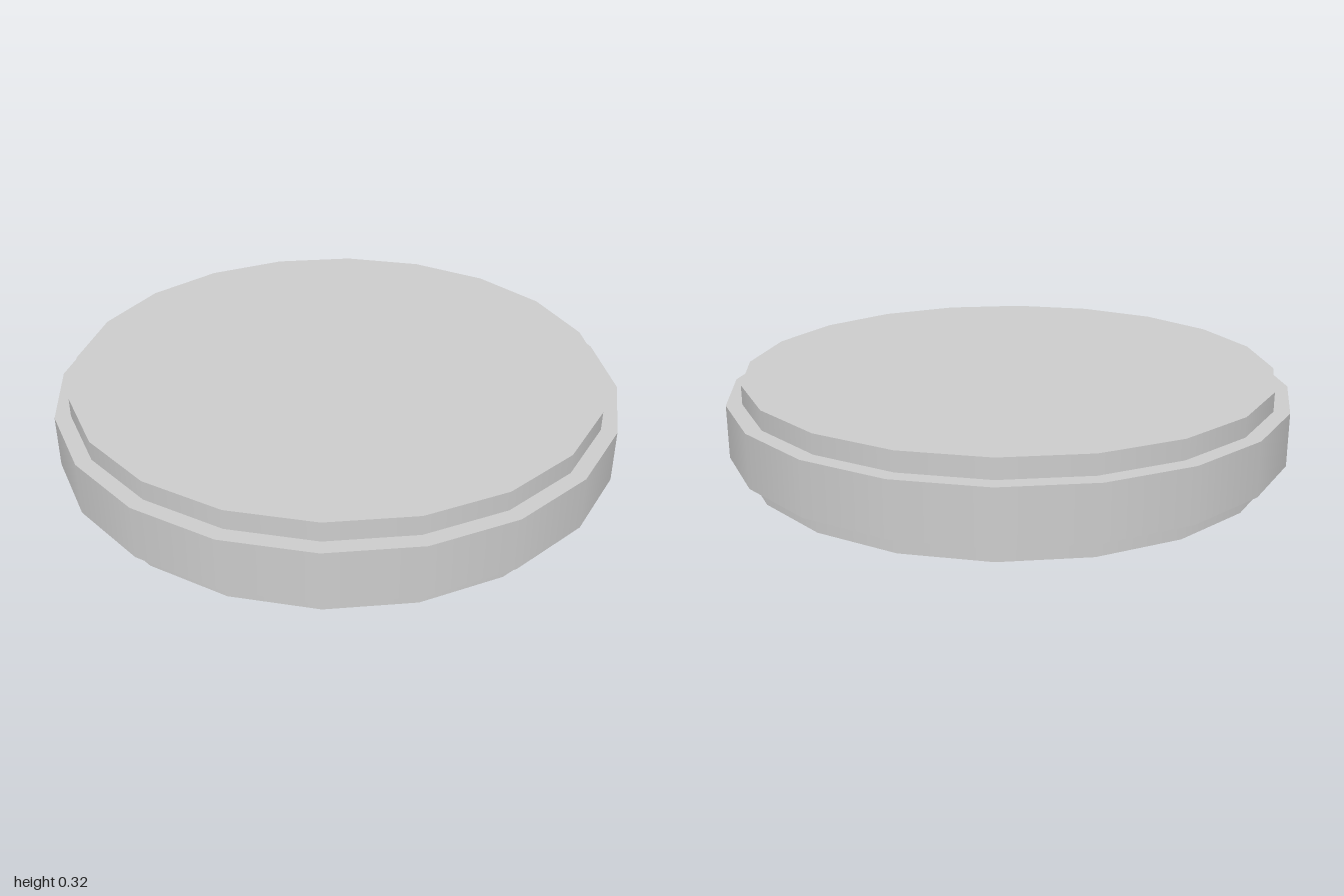
import * as THREE from 'three';

const SIDES = 20;
const HEIGHT = 0.32;

export function createModel() {
  const group = new THREE.Group();
  group.name = 'disc';
  const material = new THREE.MeshStandardMaterial({ color: 0xcccccc });

  // Both discs share the same mid-height
  const addDisc = (name, radius, height) => {
    const mesh = new THREE.Mesh(new THREE.CylinderGeometry(radius, radius, height, SIDES), material);
    mesh.name = name;
    mesh.position.y = HEIGHT / 2 + 0.002;
    group.add(mesh);
  };

  // Full-height core, standing proud above and below the rim
  addDisc('core', 0.945, HEIGHT + 0.004);
  // Wider band around the middle
  addDisc('rim', 1, 0.188);

  return group;
}
